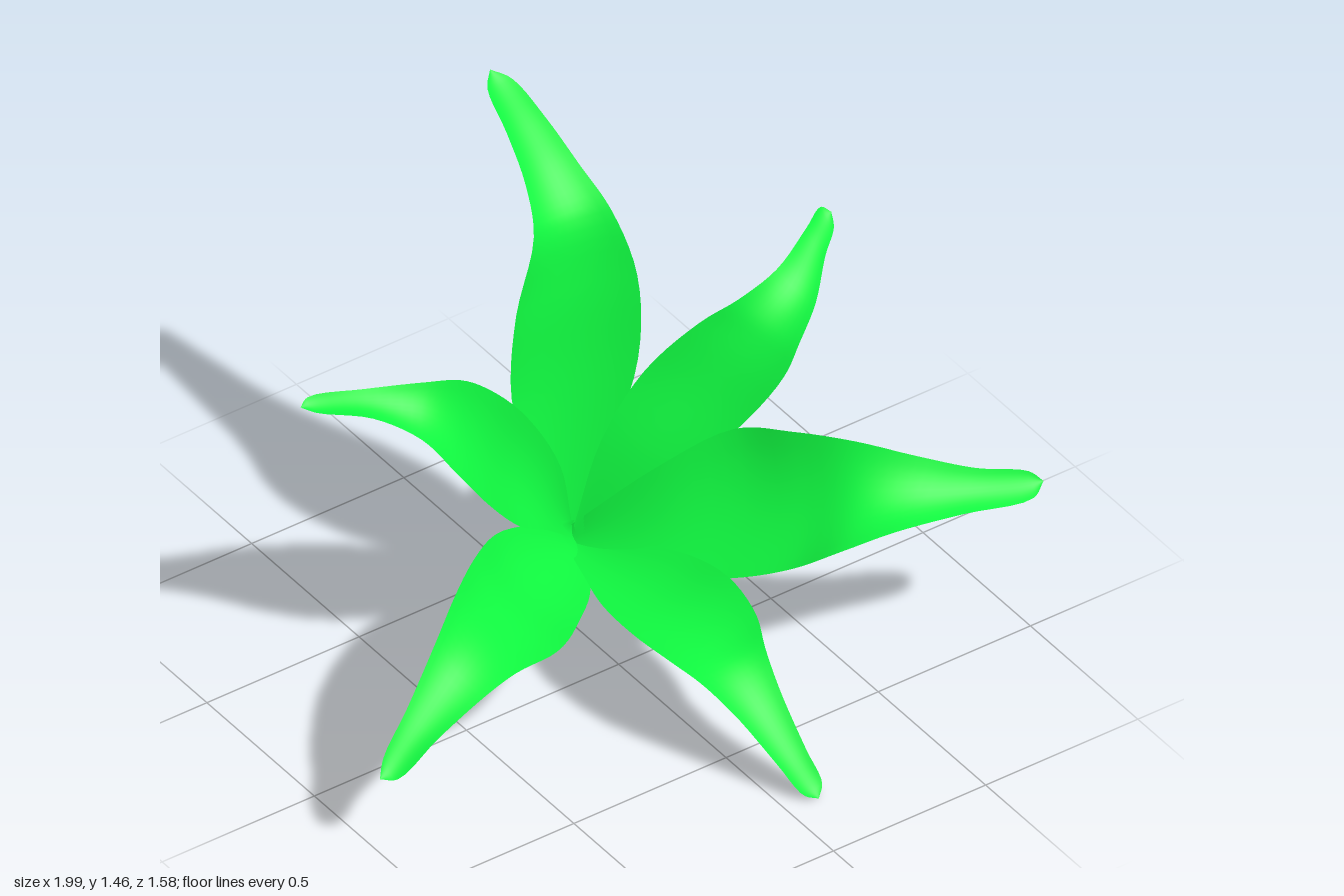
import * as THREE from 'three';

const ALONG = 40, ACROSS = 10;
const V = (p) => new THREE.Vector3(...p);

// A petal is a sheet between two edge curves that meet at the tip,
// bowed outward across its width (cup = bow depth / width).
function petalGeometry(edgeA, edgeB, tip, cup) {
  const a = new THREE.CatmullRomCurve3([...edgeA, tip].map(V));
  const b = new THREE.CatmullRomCurve3([...edgeB, tip].map(V));
  const mid = (t) => a.getPoint(t).lerp(b.getPoint(t), 0.5);
  const positions = [], index = [];
  for (let i = 0; i <= ALONG; i++) {
    const t = i / ALONG;
    const pa = a.getPoint(t), pb = b.getPoint(t);
    const across = pb.clone().sub(pa);
    const forward = mid(Math.min(1, t + 0.02)).sub(mid(Math.max(0, t - 0.02)));
    const bow = forward.cross(across).normalize().multiplyScalar(cup * across.length());
    for (let j = 0; j <= ACROSS; j++) {
      const s = j / ACROSS;
      const p = pa.clone().lerp(pb, s).addScaledVector(bow, 4 * s * (1 - s));
      positions.push(p.x, p.y, p.z);
      if (i < ALONG && j < ACROSS) {
        const k = i * (ACROSS + 1) + j, n = k + ACROSS + 1;
        index.push(k, k + 1, n, k + 1, n + 1, n);
      }
    }
  }
  const g = new THREE.BufferGeometry();
  g.setAttribute('position', new THREE.Float32BufferAttribute(positions, 3));
  g.setIndex(index);
  g.computeVertexNormals();
  return g;
}

export function createModel() {
  const group = new THREE.Group();
  group.name = 'lilyFlower';
  const material = new THREE.MeshStandardMaterial({ color: 0x10f840, side: THREE.DoubleSide });
  const addPetal = (name, edgeA, edgeB, tip, cup) => {
    const mesh = new THREE.Mesh(petalGeometry(edgeA, edgeB, tip, cup), material);
    mesh.name = name;
    group.add(mesh);
  };

  // Upright petal at the back, tip curling backward
  addPetal('backPetal',
    [[0.04, 0.17, -0.31], [-0.05, 0.45, -0.315], [-0.115, 0.74, -0.335], [-0.09, 1.0, -0.35],
      [0, 1.2, -0.395], [0.04, 1.3, -0.49], [0.07, 1.38, -0.62], [0.095, 1.44, -0.745]],
    [[0.06, 0.17, -0.31], [0.17, 0.45, -0.295], [0.265, 0.74, -0.285], [0.28, 1.0, -0.31],
      [0.24, 1.2, -0.375], [0.21, 1.3, -0.48], [0.195, 1.38, -0.615], [0.175, 1.44, -0.745]],
    [0.135, 1.46, -0.79], 0.13);

  // Petal reaching forward and drooping at the tip
  addPetal('frontPetal',
    [[0.07, 0.22, -0.31], [0.13, 0.29, -0.1], [0.18, 0.34, 0.08], [0.19, 0.365, 0.25],
      [0.17, 0.345, 0.4], [0.13, 0.31, 0.5], [0.11, 0.235, 0.6], [0.115, 0.11, 0.71], [0.125, 0.03, 0.77]],
    [[0.03, 0.22, -0.31], [-0.05, 0.27, -0.1], [-0.11, 0.3, 0.08], [-0.125, 0.312, 0.25],
      [-0.11, 0.31, 0.4], [-0.08, 0.285, 0.5], [-0.035, 0.215, 0.6], [0.02, 0.1, 0.71], [0.06, 0.02, 0.775]],
    [0.1, 0, 0.79], 0.13);

  // Two petals on the left, upper edge first
  addPetal('leftFrontPetal',
    [[0.05, 0.27, -0.29], [0.22, 0.48, -0.14], [0.38, 0.63, 0], [0.46, 0.68, 0.15],
      [0.56, 0.703, 0.31], [0.68, 0.675, 0.43], [0.82, 0.62, 0.505], [0.96, 0.575, 0.55]],
    [[0.03, 0.21, -0.28], [0.09, 0.275, 0.02], [0.2, 0.355, 0.24], [0.3, 0.43, 0.38],
      [0.39, 0.52, 0.49], [0.52, 0.56, 0.545], [0.72, 0.555, 0.58], [0.94, 0.525, 0.6]],
    [0.99, 0.545, 0.575], 0.15);
  addPetal('leftBackPetal',
    [[0.05, 0.27, -0.28], [0.12, 0.55, -0.25], [0.24, 0.75, -0.22], [0.38, 0.89, -0.16],
      [0.48, 0.95, -0.12], [0.6, 1.0, -0.115], [0.74, 1.04, -0.175], [0.815, 1.055, -0.213]],
    [[0.05, 0.23, -0.27], [0.24, 0.45, -0.1], [0.4, 0.63, 0], [0.51, 0.78, 0.048],
      [0.57, 0.86, 0.035], [0.65, 0.93, -0.005], [0.75, 0.99, -0.1], [0.82, 1.015, -0.16]],
    [0.84, 1.035, -0.2], 0.14);

  // Two petals on the right, lower edge first
  addPetal('rightBackPetal',
    [[0.04, 0.24, -0.27], [-0.1, 0.38, -0.19], [-0.24, 0.5, -0.12], [-0.38, 0.67, -0.08],
      [-0.46, 0.79, -0.105], [-0.53, 0.895, -0.165], [-0.63, 0.958, -0.25], [-0.74, 0.96, -0.355]],
    [[0.05, 0.28, -0.29], [0, 0.5, -0.27], [-0.12, 0.73, -0.255], [-0.25, 0.89, -0.24],
      [-0.35, 0.97, -0.24], [-0.45, 0.995, -0.26], [-0.6, 0.995, -0.33], [-0.74, 0.985, -0.4]],
    [-0.77, 0.97, -0.39], 0.14);
  addPetal('rightFrontPetal',
    [[0.06, 0.22, -0.29], [-0.05, 0.25, -0.06], [-0.2, 0.3, 0.1], [-0.38, 0.37, 0.25],
      [-0.55, 0.405, 0.3], [-0.67, 0.395, 0.325], [-0.83, 0.33, 0.335], [-0.96, 0.25, 0.333]],
    [[0.06, 0.28, -0.29], [-0.12, 0.39, -0.22], [-0.3, 0.49, -0.14], [-0.45, 0.545, -0.03],
      [-0.6, 0.56, 0.09], [-0.73, 0.51, 0.18], [-0.87, 0.39, 0.245], [-0.97, 0.295, 0.28]],
    [-1, 0.25, 0.305], 0.14);

  return group;
}
